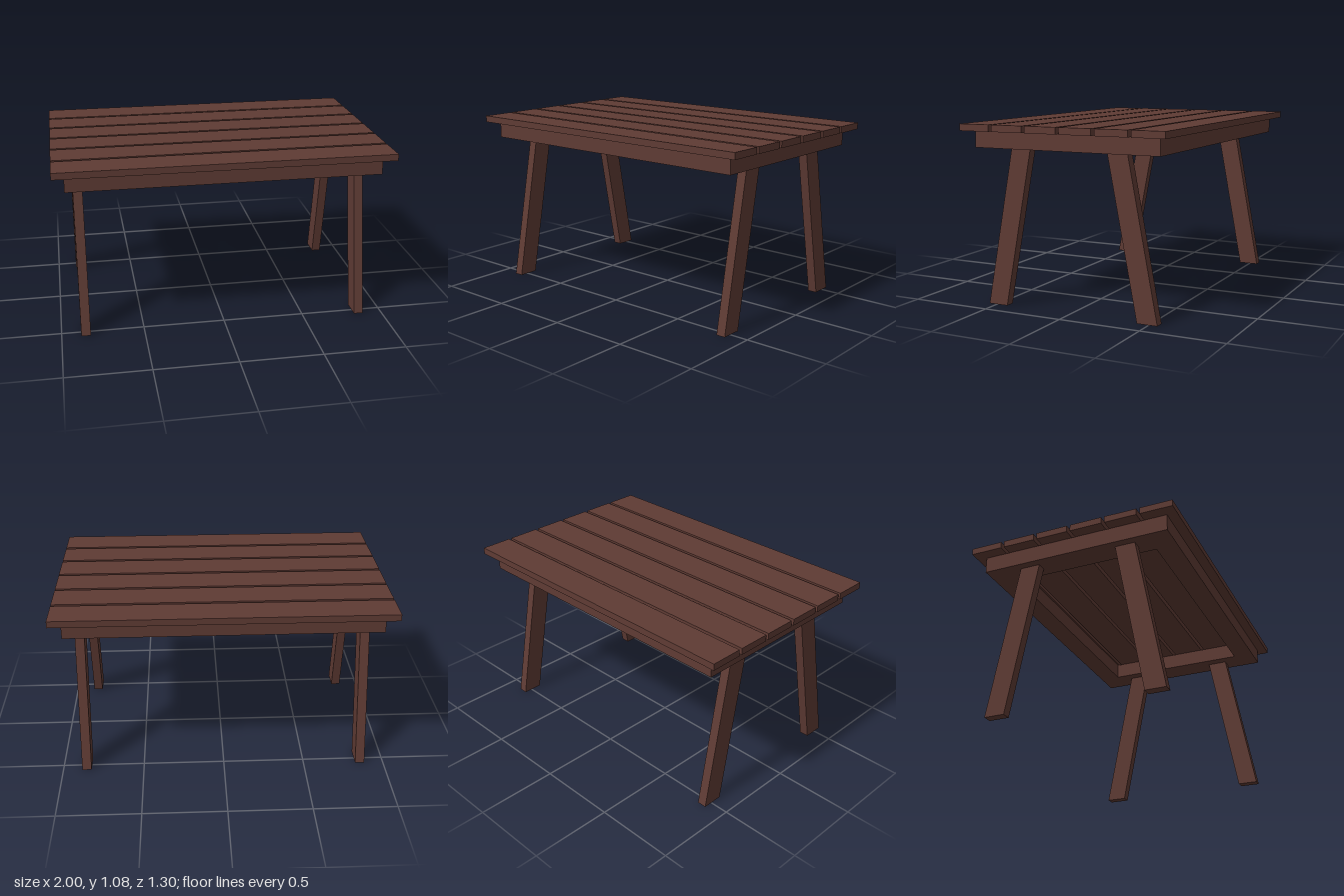
import * as THREE from 'three';

export function createModel() {
  const table = new THREE.Group();
  table.name = 'picnicTable';
  const wood = new THREE.MeshStandardMaterial({ color: 0x5f3b34 });
  wood.name = 'dark brown wood';

  function add(name, geometry, x, y, z) {
    const mesh = new THREE.Mesh(geometry, wood);
    mesh.name = name;
    mesh.position.set(x, y, z);
    table.add(mesh);
  }

  // Six table-top planks with narrow gaps
  for (let i = 0; i < 6; i++) {
    add('topPlank' + (i + 1), new THREE.BoxGeometry(2, 0.04, 0.2), 0, 1.06, -0.55 + i * 0.22);
  }

  // Frame under the top: two end beams joined by two long rails
  for (const [side, s] of [['left', 1], ['right', -1]]) {
    add(side + 'EndBeam', new THREE.BoxGeometry(0.165, 0.1, 1.18), s * 0.8475, 0.99, 0);
  }
  for (const [side, s] of [['front', 1], ['back', -1]]) {
    add(side + 'Rail', new THREE.BoxGeometry(1.53, 0.1, 0.13), 0, 0.99, s * 0.525);
  }

  // Splayed legs: boxes sheared outward so both ends stay level
  const height = 0.94, splay = 0.18;
  for (const [side, sx] of [['Left', 1], ['Right', -1]]) {
    for (const [end, sz] of [['front', 1], ['back', -1]]) {
      const leg = new THREE.BoxGeometry(0.057, height, 0.125);
      const shear = new THREE.Matrix4().set(
        1, 0, 0, 0,
        0, 1, 0, 0,
        0, -sz * splay / height, 1, 0,
        0, 0, 0, 1);
      leg.applyMatrix4(shear);
      add(end + side + 'Leg', leg, sx * 0.854, height / 2, sz * 0.4);
    }
  }
  return table;
}
